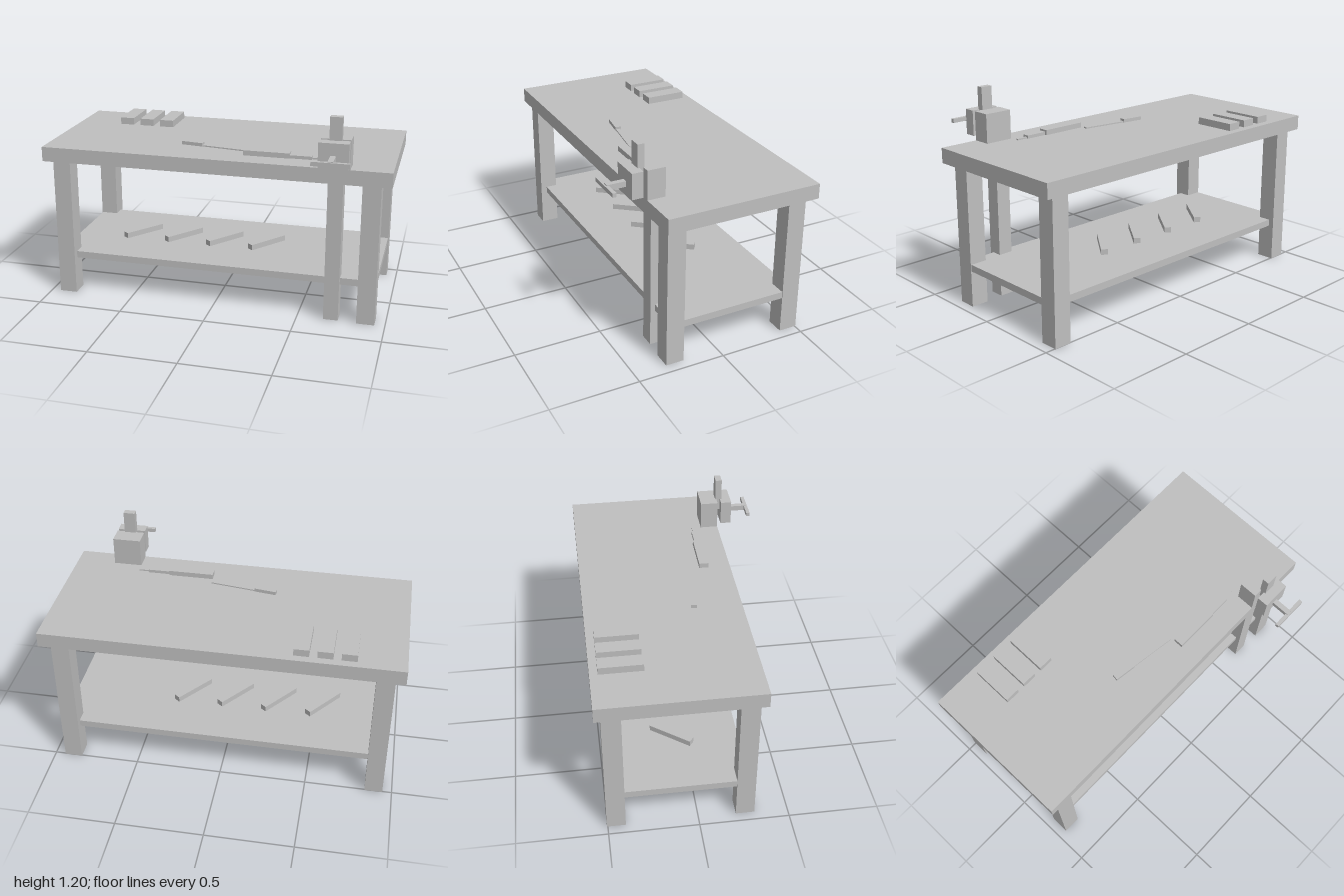
import * as THREE from 'three';

export function createModel() {
  const model = new THREE.Group();
  model.name = 'workbench';
  const grey = new THREE.MeshStandardMaterial({ color: 0xbfbfbf });
  grey.name = 'plain grey';

  // Box given by its extents along each axis
  function slab(name, [x0, x1], [y0, y1], [z0, z1], parent = model) {
    const mesh = new THREE.Mesh(new THREE.BoxGeometry(x1 - x0, y1 - y0, z1 - z0), grey);
    mesh.position.set((x0 + x1) / 2, (y0 + y1) / 2, (z0 + z1) / 2);
    mesh.name = name;
    parent.add(mesh);
    return mesh;
  }
  function group(name) {
    const g = new THREE.Group();
    g.name = name;
    model.add(g);
    return g;
  }

  const top = 0.907;   // work surface height
  const midZ = -0.098; // bench centre line

  // Bench frame
  slab('tableTop', [-1, 1], [0.822, top], [-0.541, 0.344]);
  slab('shelf', [-0.943, 0.937], [0.211, 0.251], [midZ - 0.375, midZ + 0.375]);
  for (const x of [-0.896, 0.89])
    for (const [name, z] of [['frontLeg', 0.262], ['backLeg', -0.453]])
      slab(name, [x - 0.051, x + 0.051], [0, 0.822], [z - 0.052, z + 0.052]);
  slab('viseSupportLeg', [0.65, 0.734], [0, 0.822], [0.22, 0.304]);

  // Vise on the front edge
  const vise = group('vise');
  slab('fixedJaw', [0.61, 0.773], [top, 1.072], [0.241, 0.344], vise);
  slab('slidingJaw', [0.61, 0.773], [0.928, 1.072], [0.365, 0.429], vise);
  slab('vicePost', [0.66, 0.727], [1.002, 1.2], [0.337, 0.375], vise);
  slab('viseScrew', [0.676, 0.706], [0.973, 1.004], [0.429, 0.535], vise);
  slab('viseHandle', [0.59, 0.794], [0.977, 1.0], [0.523, 0.544], vise);

  // Three wooden blocks at the back
  for (const x of [-0.696, -0.569, -0.441])
    slab('block', [x - 0.042, x + 0.042], [top, 0.948], [-0.497, -0.259]);

  // Chisel lying at a slight angle
  const chisel = group('chisel');
  chisel.position.set(-0.17, top, 0.081);
  chisel.rotation.y = -0.145;
  slab('chiselHandle', [-0.063, 0.063], [0, 0.02], [-0.017, 0.017], chisel);
  slab('chiselBlade', [0.063, 0.328], [0, 0.007], [-0.013, 0.013], chisel);

  // Stepped hand tool beside the vise
  const tool = group('handTool');
  slab('toolGrip', [0.158, 0.42], [top, 0.936], [0.162, 0.216], tool);
  slab('toolShank', [0.42, 0.545], [top, 0.925], [0.172, 0.21], tool);
  slab('toolTip', [0.545, 0.607], [top, 0.915], [0.182, 0.195], tool);

  // Diagonal bars on the shelf
  for (const x of [-0.552, -0.288, -0.027, 0.234]) {
    const bar = slab('shelfBar', [-0.131, 0.131], [0.257, 0.29], [-0.02, 0.02]);
    bar.position.x = x;
    bar.position.z = midZ;
    bar.rotation.y = 0.913;
  }
  return model;
}
